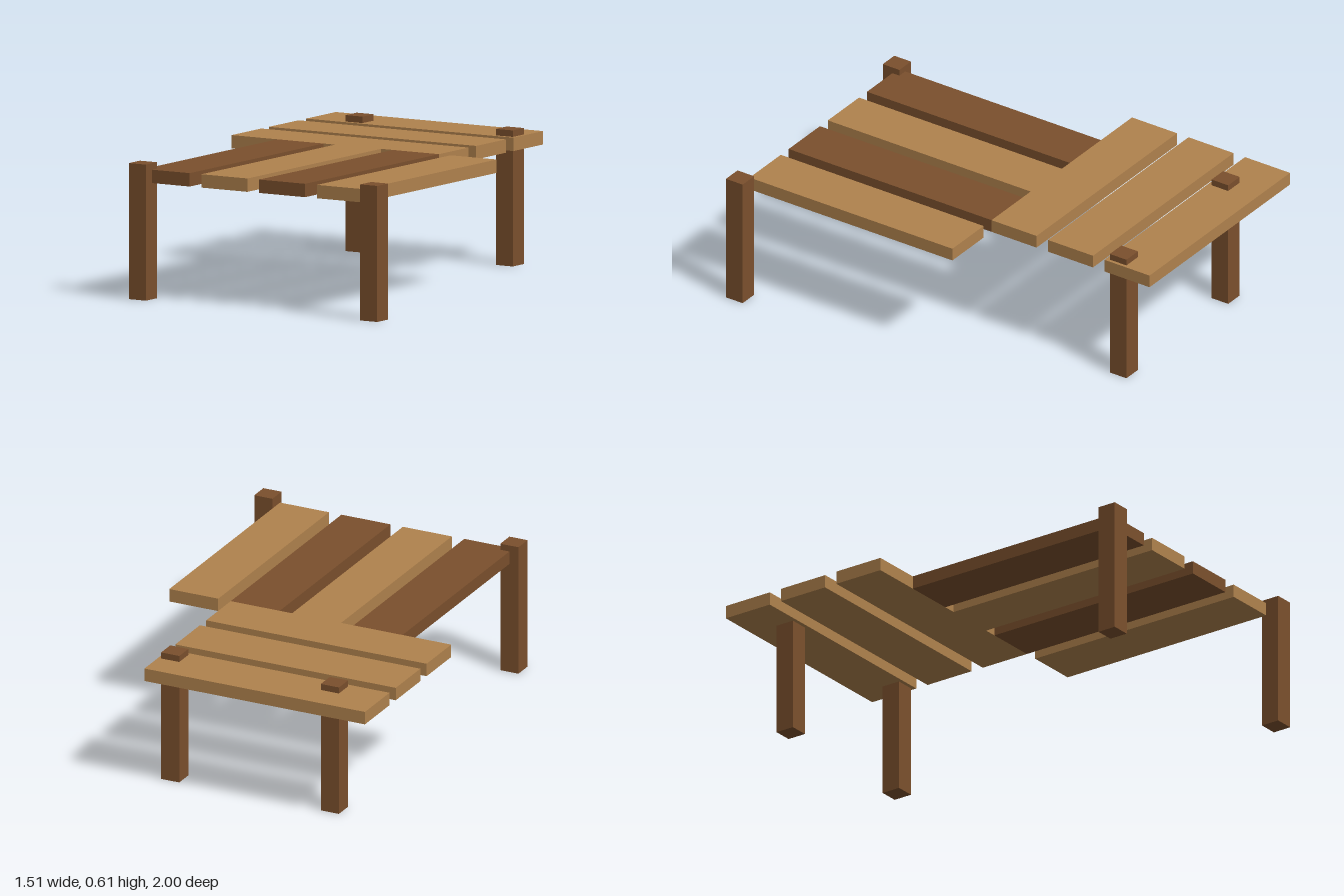
import * as THREE from 'three';

const PLANK_W = 0.243, PLANK_L = 1.095, PLANK_H = 0.06, PLANK_Y = 0.551;
const PITCH = 0.305, LEG_W = 0.09, LEG_H = 0.61;

export function createModel() {
  const group = new THREE.Group();
  const lightWood = new THREE.MeshStandardMaterial({ color: 0xb0824d });
  lightWood.name = 'lightWood';
  const darkWood = new THREE.MeshStandardMaterial({ color: 0x7b502d });
  darkWood.name = 'darkWood';

  const addBox = (name, material, size, position) => {
    const mesh = new THREE.Mesh(new THREE.BoxGeometry(...size), material);
    mesh.name = name;
    mesh.position.set(...position);
    group.add(mesh);
  };

  // Three boards running across the back
  for (let i = 0; i < 3; i++) {
    addBox('crossPlank', lightWood, [PLANK_L, PLANK_H, PLANK_W],
      [-0.2075, PLANK_Y, -0.8785 + i * PITCH]);
  }

  // Four boards running to the front, alternating dark and light
  for (let i = 0; i < 4; i++) {
    addBox('longPlank', i % 2 ? lightWood : darkWood, [PLANK_W, PLANK_H, PLANK_L],
      [-0.3915 + i * PITCH, PLANK_Y, 0.4005]);
  }

  // Square posts that rise slightly above the boards
  for (const [x, z] of [[-0.513, -0.82], [0.28, -0.82], [-0.513, 0.955], [0.709, 0.955]]) {
    addBox('leg', darkWood, [LEG_W, LEG_H, LEG_W], [x, LEG_H / 2, z]);
  }

  return group;
}
